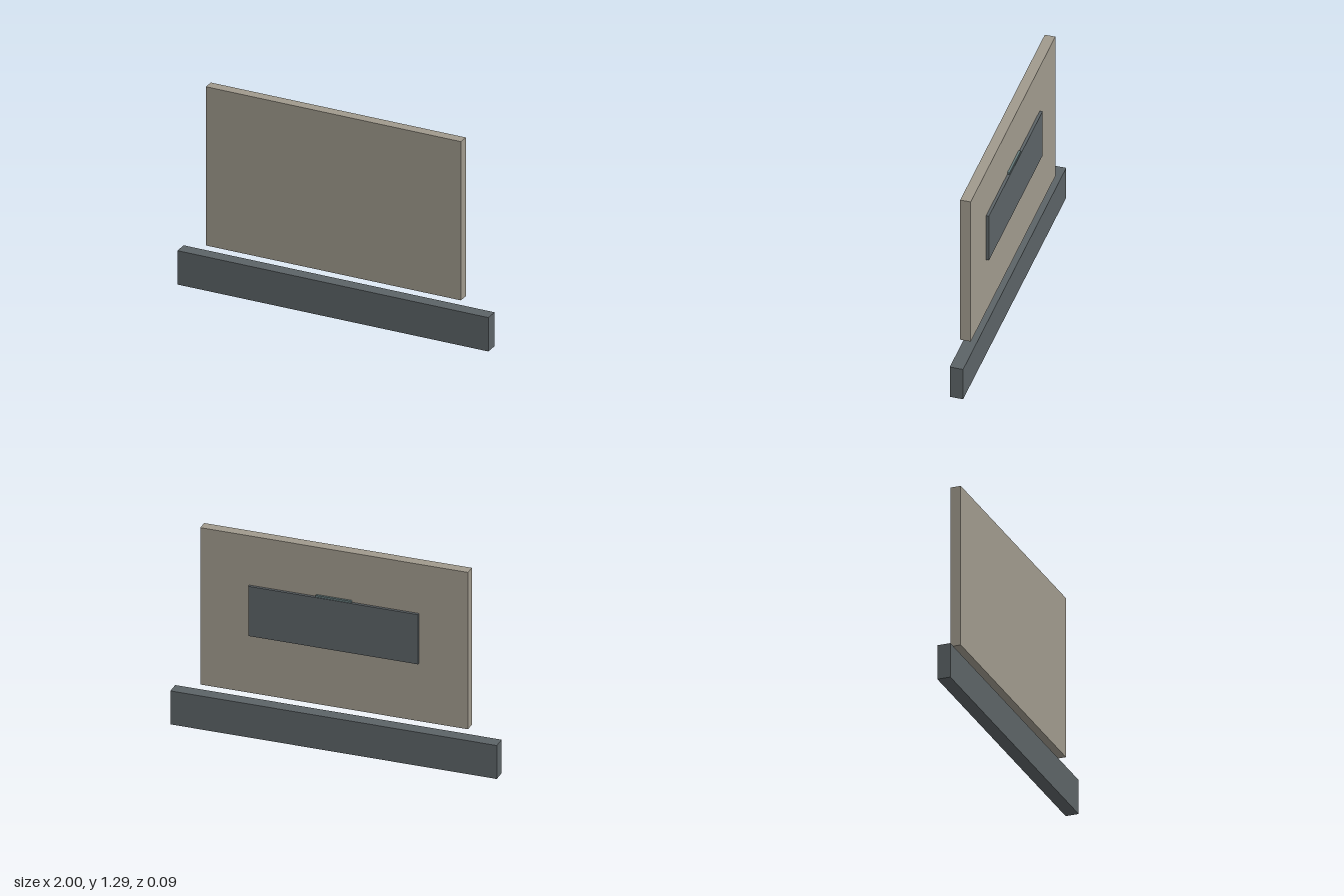
import * as THREE from 'three';

export function createModel() {
  const group = new THREE.Group();
  const stone = new THREE.MeshStandardMaterial({ color: 0xa09a8d });
  const slate = new THREE.MeshStandardMaterial({ color: 0x5c6366 });
  const teal = new THREE.MeshStandardMaterial({ color: 0x64797a });

  // Box centred on x, given by width and its y and z extents
  function slab(name, width, [y0, y1], [z0, z1], material) {
    const mesh = new THREE.Mesh(new THREE.BoxGeometry(width, y1 - y0, z1 - z0), material);
    mesh.position.set(0, (y0 + y1) / 2, (z0 + z1) / 2);
    mesh.name = name;
    group.add(mesh);
  }

  // Long bar along the bottom, with the panel floating above it
  slab('baseBar', 2, [0, 0.215], [-0.036, 0.044], slate);
  slab('mainPanel', 1.64, [0.283, 1.29], [-0.026, 0.037], stone);

  // Plate on the back, with a small tab showing over its top edge
  slab('backPlate', 1.04, [0.655, 0.974], [-0.043, -0.026], slate);
  slab('backTab', 0.22, [0.94, 0.986], [-0.039, -0.026], teal);

  return group;
}
